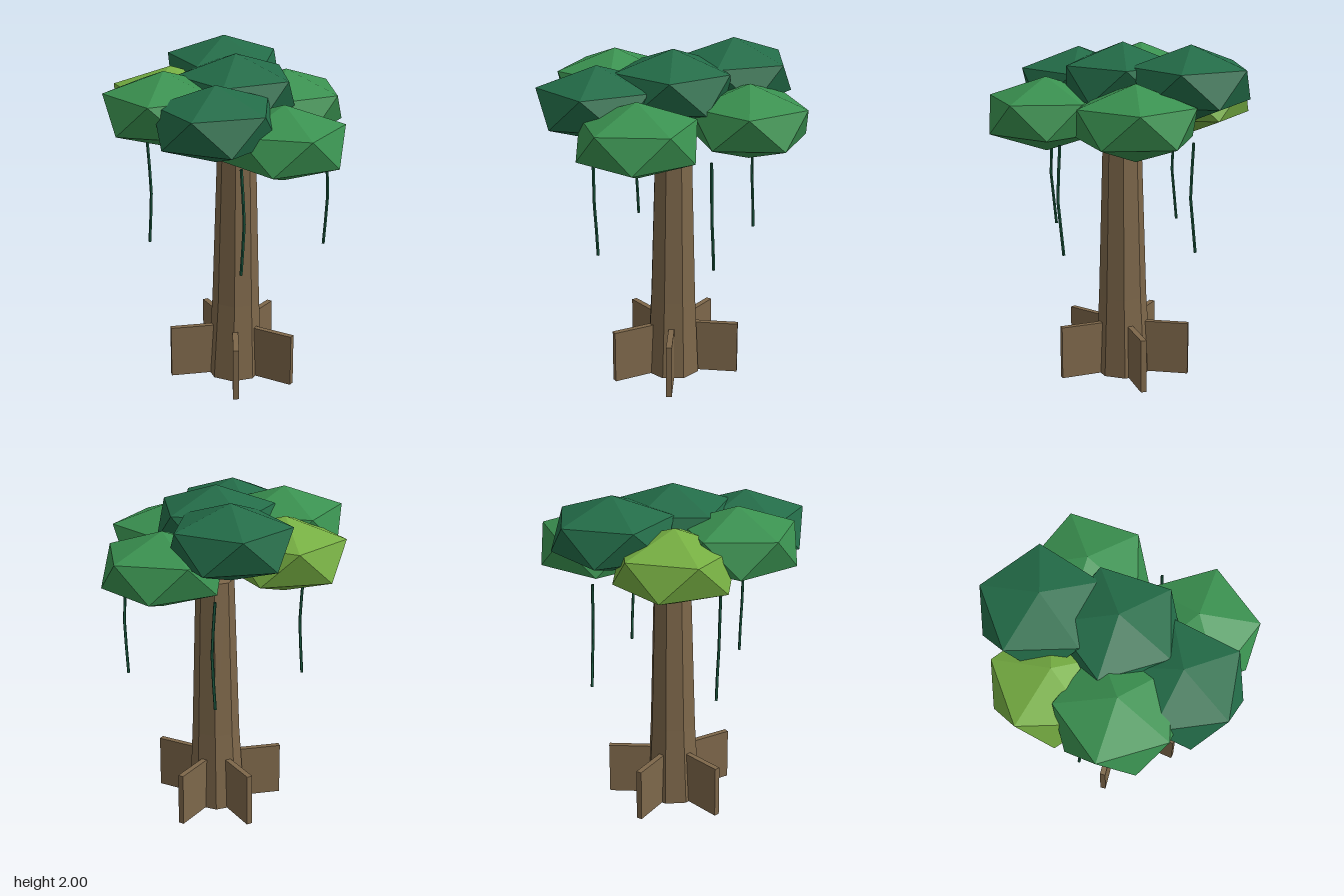
import * as THREE from 'three';

const flat = (name, color) => {
  const m = new THREE.MeshStandardMaterial({ color, flatShading: true });
  m.name = name;
  return m;
};

export function createModel() {
  const bark = flat('bark brown', 0x7d674a);
  const dark = flat('dark leaf green', 0x236c48);
  const mid = flat('mid leaf green', 0x3a9150);
  const lime = flat('lime leaf green', 0x76ae42);
  const vineGreen = flat('vine green', 0x1d5c42);

  const tree = new THREE.Group();
  tree.name = 'tree';
  const add = (name, geometry, material, parent = tree) => {
    const mesh = new THREE.Mesh(geometry, material);
    mesh.name = name;
    parent.add(mesh);
    return mesh;
  };
  const addGroup = (name) => {
    const g = new THREE.Group();
    g.name = name;
    tree.add(g);
    return g;
  };

  // Trunk: eight sides, flared at the base; levels are [y, radius, centre x]
  const levels = [[0, 0.166, 0.049], [0.48, 0.141, 0.055], [1.43, 0.113, 0.058]];
  const trunk = new THREE.CylinderGeometry(1, 1, 2, 8, 2);
  const p = trunk.attributes.position;
  for (let i = 0; i < p.count; i++) {
    const [y, r, cx] = levels[Math.round(p.getY(i)) + 1];
    p.setXYZ(i, cx + p.getX(i) * r, y, p.getZ(i) * r);
  }
  trunk.computeVertexNormals();
  add('trunk', trunk, bark);

  // Buttress roots: thin upright boards, unevenly spaced around the trunk
  const roots = addGroup('buttressRoots');
  roots.position.x = 0.05;
  for (const degrees of [4, 63, 149, 211, 284]) {
    const board = new THREE.BoxGeometry(0.034, 0.316, 0.294).translate(0, 0.16, 0.247);
    add('buttressRoot', board, bark, roots).rotation.y = THREE.MathUtils.degToRad(degrees);
  }

  // Leaf clumps: flattened icosahedra with a corner straight up
  // [x, y, z, turn of the upper ring in degrees, material]
  const clumps = [
    [-0.04, 1.783, -0.425, 42, dark],
    [0.052, 1.772, 0, 27, dark],
    [-0.036, 1.7, 0.43, 36, dark],
    [-0.34, 1.715, 0.2, 27, mid],
    [0.335, 1.602, -0.345, 27, mid],
    [0.336, 1.571, 0.34, 63, mid],
    [-0.34, 1.647, -0.195, 42, lime],
  ];
  const canopy = addGroup('canopy');
  const uprightTilt = -Math.atan((1 + Math.sqrt(5)) / 2);
  for (const [x, y, z, turn, material] of clumps) {
    const clump = new THREE.IcosahedronGeometry(1, 0)
      .rotateX(uprightTilt)
      .rotateY(THREE.MathUtils.degToRad(18 - turn))
      .scale(0.382, 0.217, 0.382);
    add('leafClump', clump, material, canopy).position.set(x, y, z);
  }

  // Hanging vines: the same bent strand at four places
  const path = new THREE.CurvePath();
  const bends = [[0, 1.47, 0], [0.01, 1.32, 0.002], [0.018, 1.16, 0.004], [0.01, 1.0, -0.009], [0, 0.84, -0.02]]
    .map((b) => new THREE.Vector3(...b));
  for (let i = 1; i < bends.length; i++) path.add(new THREE.LineCurve3(bends[i - 1], bends[i]));
  const strand = new THREE.TubeGeometry(path, 4, 0.009, 5);
  const vines = addGroup('vines');
  for (const [x, z] of [[0.574, 0.002], [0.108, 0.514], [-0.458, 0.03], [0.042, -0.516]]) {
    const vine = add('vine', strand, vineGreen, vines);
    vine.position.set(x, 0, z);
  }
  vineGreen.side = THREE.DoubleSide;

  return tree;
}
